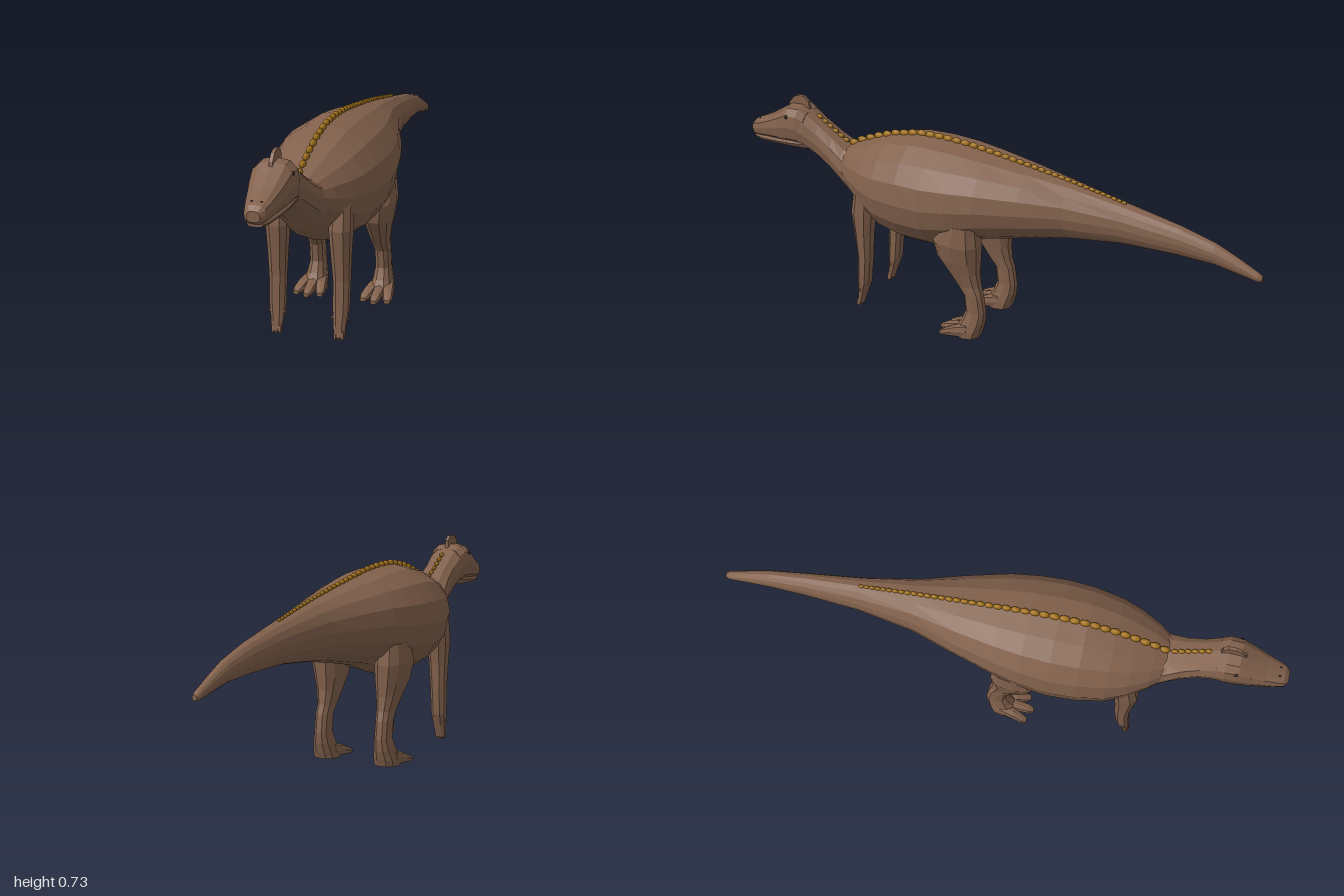
import * as THREE from 'three';

// Skin stretched over closed rings of points, with capped ends and faceted normals
function loft(rings) {
  const pos = [], n = rings[0].length;
  const tri = (...pts) => pts.forEach((p) => pos.push(p.x, p.y, p.z));
  const centre = (ring) => ring.reduce((s, p) => s.add(p), new THREE.Vector3()).divideScalar(n);
  for (let i = 0; i < rings.length - 1; i++) {
    for (let j = 0; j < n; j++) {
      const k = (j + 1) % n;
      tri(rings[i][j], rings[i][k], rings[i + 1][k]);
      tri(rings[i][j], rings[i + 1][k], rings[i + 1][j]);
    }
  }
  const first = rings[0], last = rings[rings.length - 1];
  const c0 = centre(first), c1 = centre(last);
  for (let j = 0; j < n; j++) {
    const k = (j + 1) % n;
    tri(c0, first[k], first[j]);
    tri(c1, last[j], last[k]);
  }
  const g = new THREE.BufferGeometry();
  g.setAttribute('position', new THREE.Float32BufferAttribute(pos, 3));
  g.computeVertexNormals();
  return g;
}

const soft = (v, p) => Math.sign(v) * Math.pow(Math.abs(v), p);

// Sections along z: [z, top, bottom, halfWidth, centreX]; a lower power is boxier
function loftZ(sections, sides, power = 1) {
  return loft(sections.map(([z, top, bottom, w, cx = 0]) =>
    Array.from({ length: sides }, (_, j) => {
      const a = (j / sides) * Math.PI * 2;
      return new THREE.Vector3(cx + w * soft(Math.cos(a), power),
        (top + bottom) / 2 + ((top - bottom) / 2) * soft(Math.sin(a), power), z);
    })));
}

// Sections going up: [y, innerX, outerX, backZ, frontZ], on the chosen side
function loftY(sections, sides, side, power = 0.8) {
  return loft(sections.map(([y, x0, x1, z0, z1]) =>
    Array.from({ length: sides }, (_, j) => {
      const a = ((j + 0.5) / sides) * Math.PI * 2;
      return new THREE.Vector3((side * (x0 + x1)) / 2 + ((x1 - x0) / 2) * soft(Math.sin(a), power),
        y, (z0 + z1) / 2 + ((z1 - z0) / 2) * soft(Math.cos(a), power));
    })));
}

// Height of the top line of z sections
function topAt(sections, z) {
  for (let i = 0; i < sections.length - 1; i++) {
    const [a, ta] = sections[i], [b, tb] = sections[i + 1];
    if (z >= a && z <= b) return ta + ((tb - ta) * (z - a)) / (b - a);
  }
  return sections[sections.length - 1][1];
}

const BODY = [
  [-1, 0.433, 0.414, 0.009], [-0.985, 0.444, 0.411, 0.015], [-0.9, 0.485, 0.427, 0.022],
  [-0.83, 0.515, 0.44, 0.028], [-0.7, 0.55, 0.445, 0.037], [-0.5, 0.588, 0.442, 0.055],
  [-0.3, 0.625, 0.418, 0.09], [-0.15, 0.648, 0.388, 0.138], [0, 0.668, 0.355, 0.18],
  [0.1, 0.68, 0.315, 0.198], [0.2, 0.685, 0.288, 0.206], [0.3, 0.682, 0.286, 0.2],
  [0.4, 0.66, 0.306, 0.182], [0.47, 0.635, 0.348, 0.156], [0.54, 0.605, 0.405, 0.116],
  [0.59, 0.578, 0.452, 0.078],
];
const NECK = [
  [0.5, 0.56, 0.39, 0.1], [0.55, 0.575, 0.412, 0.1], [0.59, 0.583, 0.442, 0.086],
  [0.64, 0.613, 0.474, 0.072], [0.7, 0.652, 0.511, 0.066], [0.75, 0.685, 0.538, 0.071],
  [0.78, 0.694, 0.545, 0.074],
];
const HEAD = [
  [0.75, 0.684, 0.55, 0.067], [0.78, 0.701, 0.55, 0.075], [0.825, 0.698, 0.55, 0.073],
  [0.87, 0.668, 0.55, 0.066], [0.92, 0.637, 0.549, 0.054], [0.96, 0.617, 0.546, 0.045],
  [0.985, 0.606, 0.544, 0.037], [1, 0.59, 0.554, 0.022],
];
const JAW = [
  [0.74, 0.595, 0.541, 0.06], [0.82, 0.58, 0.539, 0.06], [0.9, 0.565, 0.534, 0.047],
  [0.955, 0.558, 0.53, 0.036], [0.985, 0.555, 0.535, 0.027],
];
const FORELEG = [
  [0.006, 0.09, 0.131, 0.486, 0.504], [0.05, 0.087, 0.133, 0.47, 0.503],
  [0.1, 0.083, 0.14, 0.452, 0.5], [0.2, 0.082, 0.142, 0.442, 0.496],
  [0.29, 0.076, 0.145, 0.438, 0.505], [0.38, 0.07, 0.15, 0.428, 0.516],
  [0.48, 0.075, 0.148, 0.42, 0.5],
];
const HINDLEG = [
  [0, 0.078, 0.168, -0.005, 0.085], [0.025, 0.08, 0.168, -0.014, 0.085],
  [0.06, 0.088, 0.158, -0.024, 0.064], [0.1, 0.094, 0.15, -0.027, 0.047],
  [0.165, 0.094, 0.15, -0.018, 0.054], [0.2, 0.09, 0.15, -0.008, 0.082],
  [0.25, 0.082, 0.161, -0.002, 0.117], [0.3, 0.074, 0.174, -0.006, 0.155],
  [0.365, 0.07, 0.187, -0.01, 0.168], [0.44, 0.08, 0.18, 0, 0.14],
];

export function createModel() {
  const model = new THREE.Group();
  const skin = new THREE.MeshStandardMaterial({ color: 0x82614c });
  skin.name = 'brown skin';
  const gold = new THREE.MeshStandardMaterial({ color: 0xa07018 });
  gold.name = 'ochre scutes';
  const dark = new THREE.MeshStandardMaterial({ color: 0x2a1e18 });
  dark.name = 'dark eyes';
  const add = (name, geometry, material = skin, parent = model) => {
    const mesh = new THREE.Mesh(geometry, material);
    mesh.name = name;
    parent.add(mesh);
    return mesh;
  };

  add('bodyAndTail', loftZ(BODY, 16));
  add('neck', loftZ(NECK, 12, 0.9));
  add('head', loftZ(HEAD, 12, 0.75));
  add('lowerJaw', loftZ(JAW, 10, 0.75));

  // Thin rounded crest on the crown
  const crestShape = new THREE.Shape();
  crestShape.moveTo(-0.845, 0.67);
  [[-0.838, 0.7], [-0.82, 0.723], [-0.8, 0.732], [-0.775, 0.731], [-0.758, 0.715], [-0.752, 0.675]]
    .forEach(([z, y]) => crestShape.lineTo(z, y));
  const crest = new THREE.ExtrudeGeometry(crestShape, { depth: 0.012, bevelEnabled: false });
  crest.translate(0, 0, -0.006).rotateY(Math.PI / 2);
  add('crest', crest);

  // Row of rounded scutes shrinking towards the tail
  const scutes = new THREE.Group();
  scutes.name = 'backScutes';
  model.add(scutes);
  const bead = new THREE.SphereGeometry(1, 10, 8);
  const scute = (sections, z, size) => {
    const m = add('scute', bead, gold, scutes);
    m.position.set(0, topAt(sections, z) + size * 0.1, z);
    m.scale.set(size * 0.58, size * 0.7, size);
  };
  for (let z = 0.57; z > -0.5;) {
    const size = z > 0.2 ? 0.019 : 0.019 - (0.2 - z) * 0.013;
    scute(BODY, z, size);
    z -= size * 1.85;
  }
  for (let z = 0.605; z < 0.73; z += 0.022) scute(NECK, z, 0.013);

  for (const side of [1, -1]) {
    const label = side > 0 ? 'left' : 'right';

    // Eye and nostril
    const eye = add(label + 'Eye', new THREE.SphereGeometry(0.008, 8, 6), dark);
    eye.position.set(side * 0.063, 0.664, 0.818);
    const nostril = add(label + 'Nostril', new THREE.SphereGeometry(0.004, 6, 4), dark);
    nostril.position.set(side * 0.016, 0.611, 0.966);

    // Foreleg with three short fingers and a spike on each side of the wrist
    add(label + 'Foreleg', loftY(FORELEG, 8, side));
    for (const f of [-1, 0, 1]) {
      const x = 0.11 + f * 0.013;
      add(label + 'Finger', loftY([
        [0, x - 0.005, x + 0.005, 0.489, 0.506], [0.01, x - 0.006, x + 0.006, 0.486, 0.507],
        [0.03, x - 0.005, x + 0.005, 0.482, 0.502],
      ], 6, side));
      if (f === 0) continue;
      const spike = add(label + 'WristSpike', new THREE.ConeGeometry(0.007, 0.03, 5));
      spike.position.set(side * (0.11 + f * 0.028), 0.071, 0.485);
      spike.rotation.z = -side * f * 2.1;
    }

    // Hind leg with three spread toes
    add(label + 'HindLeg', loftY(HINDLEG, 10, side));
    for (const t of [-1, 0, 1]) {
      const reach = t === 0 ? 0.15 : 0.132;
      const x = (d) => side * (0.124 + t * d);
      add(label + 'Toe', loftZ([
        [0.03, 0.055, 0, 0.022, x(0.022)], [0.08, 0.042, 0, 0.02, x(0.033)],
        [reach - 0.02, 0.026, 0, 0.018, x(0.041)], [reach, 0.014, 0, 0.011, x(0.044)],
      ], 8, 0.7));
    }
  }
  return model;
}
